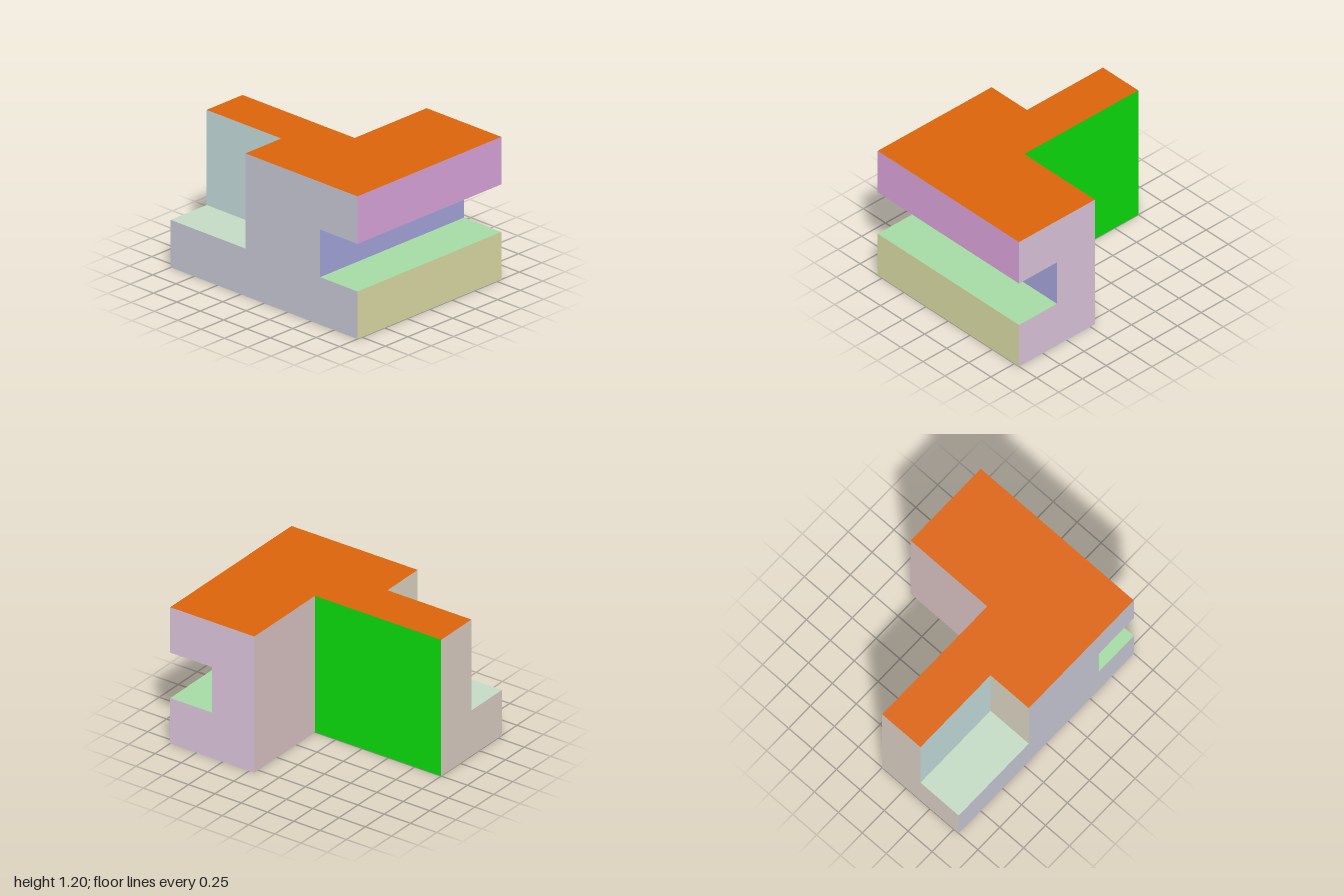
import * as THREE from 'three';

// In-plane axes per facing: [u, sign of u, v, sign of v], chosen so u x v is the outward normal
const FACING = {
  '+z': ['x', 1, 'y', 1], '-z': ['x', -1, 'y', 1],
  '+x': ['z', -1, 'y', 1], '-x': ['z', 1, 'y', 1],
  '+y': ['x', 1, 'z', -1], '-y': ['x', 1, 'z', 1],
};

const axis = (name, s) => new THREE.Vector3()['set' + name.toUpperCase()](s);

// Flat polygon on a plane; points are in model coordinates (x,y), (z,y) or (x,z)
function face(name, color, facing, offset, points) {
  const [u, su, v, sv] = FACING[facing];
  const shape = new THREE.Shape(points.map(([a, b]) => new THREE.Vector2(a * su, b * sv)));
  const normal = axis(facing[1], facing[0] === '+' ? 1 : -1);
  const geometry = new THREE.ShapeGeometry(shape);
  geometry.applyMatrix4(new THREE.Matrix4().makeBasis(axis(u, su), axis(v, sv), normal));
  geometry.translate(...axis(facing[1], offset).toArray());
  const mesh = new THREE.Mesh(geometry, new THREE.MeshStandardMaterial({ color }));
  mesh.name = name;
  return mesh;
}

const rect = (a0, b0, a1, b1) => [[a0, b0], [a1, b0], [a1, b1], [a0, b1]];

export function createModel() {
  const model = new THREE.Group();
  model.name = 'notchedBlock';

  // Right edge with the slot, shared by the front and back faces
  const slotEdge = [[1, 0], [1, 0.4], [0.6, 0.4], [0.6, 0.8], [1, 0.8], [1, 1.2]];

  model.add(
    // Front and back
    face('frontFace', 0xc8c8d6, '+z', 0.8,
      [[-1, 0], ...slotEdge, [-0.2, 1.2], [-0.2, 0.4], [-1, 0.4]]),
    face('notchBackWall', 0xc4dcdc, '+z', 0.4, rect(-1, 0.4, -0.2, 1.2)),
    face('wingBackFace', 0xdcc4dc, '-z', -0.8, [[0.2, 0], ...slotEdge, [0.2, 1.2]]),
    face('innerBackFace', 0x0adc0a, '-z', 0, rect(-1, 0, 0.2, 1.2)),

    // +x side with the slot
    face('lowerSide', 0xdcdca5, '+x', 1, rect(-0.8, 0, 0.8, 0.4)),
    face('upperSide', 0xdca5dc, '+x', 1, rect(-0.8, 0.8, 0.8, 1.2)),
    face('slotWall', 0xa5a5dc, '+x', 0.6, rect(-0.8, 0.4, 0.8, 0.8)),
    face('slotFloor', 0xa5dca5, '+y', 0.4, rect(0.6, -0.8, 1, 0.8)),
    face('slotCeiling', 0xa5dcd6, '-y', 0.8, rect(0.6, -0.8, 1, 0.8)),

    // -x side
    face('endFace', 0xdcd0c4, '-x', -1,
      [[0, 0], [0.8, 0], [0.8, 0.4], [0.4, 0.4], [0.4, 1.2], [0, 1.2]]),
    face('wingInnerSide', 0xdcc4c4, '-x', 0.2, rect(-0.8, 0, 0, 1.2)),
    face('notchSideWall', 0xdcd6c4, '-x', -0.2, rect(0.4, 0.4, 0.8, 1.2)),

    // Top, ledge and underside
    face('top', 0xdc640a, '+y', 1.2,
      [[-1, 0], [0.2, 0], [0.2, -0.8], [1, -0.8], [1, 0.8], [-0.2, 0.8], [-0.2, 0.4], [-1, 0.4]]),
    face('notchLedge', 0xc4dcc4, '+y', 0.4, rect(-1, 0.4, -0.2, 0.8)),
    face('underside', 0xdcc0a5, '-y', 0,
      [[-1, 0], [0.2, 0], [0.2, -0.8], [1, -0.8], [1, 0.8], [-1, 0.8]]),
  );
  return model;
}
